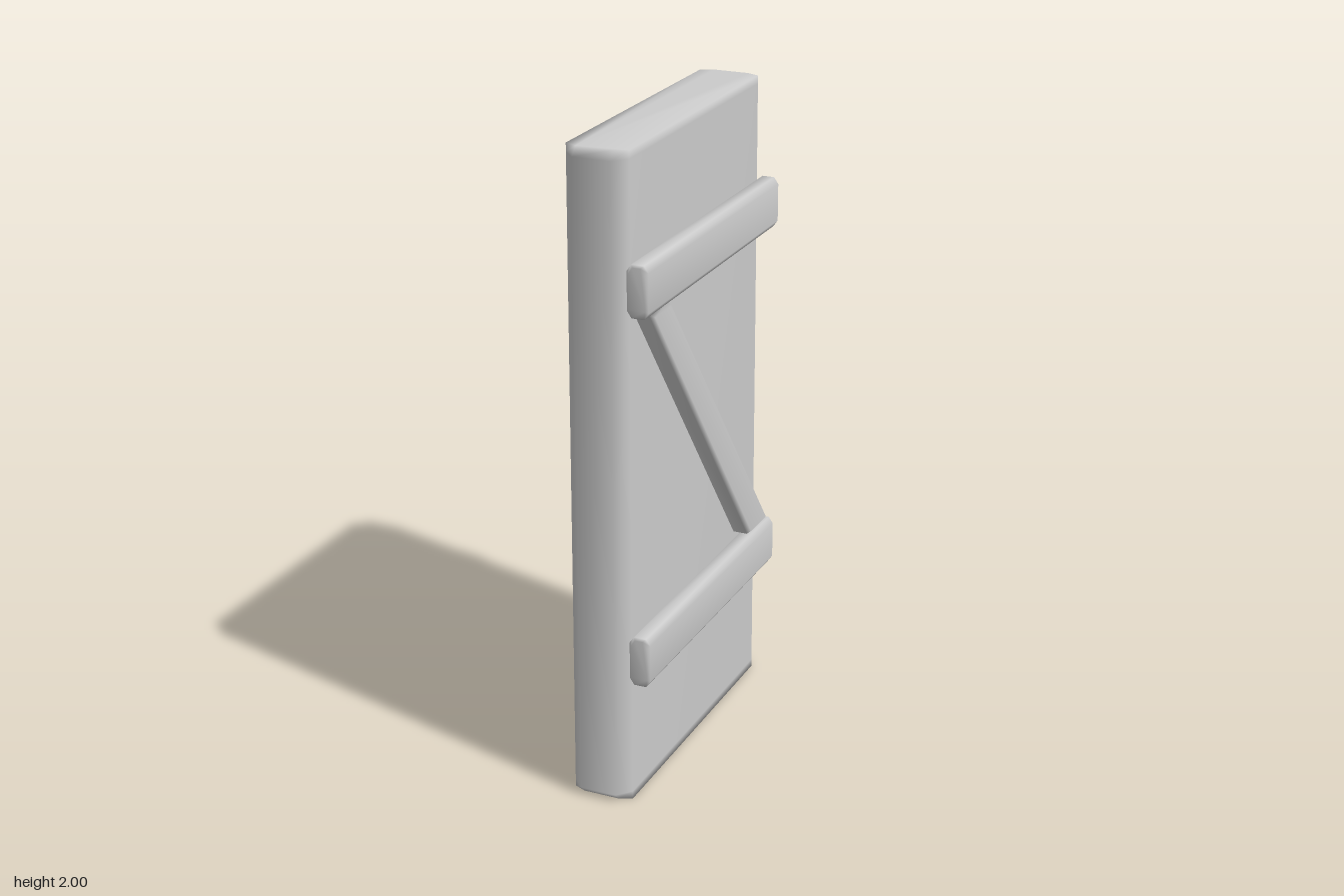
import * as THREE from 'three';

const material = new THREE.MeshStandardMaterial({ color: 0xcccccc });

// Smooth closed solid through equal-length rings (counterclockwise around the path)
function loft(name, rings) {
  const n = rings[0].length, last = (rings.length - 1) * n, index = [];
  for (let r = 0; r < rings.length - 1; r++) {
    for (let i = 0; i < n; i++) {
      const a = r * n + i, b = r * n + (i + 1) % n;
      index.push(a, b, b + n, a, b + n, a + n);
    }
  }
  for (let i = 1; i < n - 1; i++) {
    index.push(0, i + 1, i, last, last + i, last + i + 1);
  }
  const geometry = new THREE.BufferGeometry();
  geometry.setAttribute('position', new THREE.Float32BufferAttribute(rings.flat(2), 3));
  geometry.setIndex(index);
  geometry.computeVertexNormals();
  const mesh = new THREE.Mesh(geometry, material);
  mesh.name = name;
  return mesh;
}

// Octagon from half sizes a, b and chamfers ca, cb, counterclockwise from a to b
function octagon(a, b, ca, cb) {
  return [
    [a, -b + cb], [a, b - cb], [a - ca, b], [-a + ca, b],
    [-a, b - cb], [-a, -b + cb], [-a + ca, -b], [a - ca, -b],
  ];
}

export function createModel() {
  const door = new THREE.Group();
  door.name = 'door';

  // Slab: chamfered upright edges, slightly narrower towards the top
  const slabRing = (y, halfZ, inset) =>
    octagon(halfZ - inset, 0.095, 0.042 - inset, 0.038).map(([z, x]) => [x - 0.033, y, z]);
  door.add(loft('slab', [
    slabRing(0, 0.508, 0.025), slabRing(0.025, 0.508, 0),
    slabRing(1.975, 0.499, 0), slabRing(2, 0.499, 0.025),
  ]));

  // Two horizontal battens
  for (const [name, y] of [['upperBatten', 1.607], ['lowerBatten', 0.47]]) {
    const ring = (z, inset) =>
      octagon(0.033 - inset, 0.078 - inset, 0.014, 0.02).map(([x, h]) => [x, h, z]);
    const batten = loft(name, [
      ring(-0.483, 0.007), ring(-0.475, 0), ring(0.475, 0), ring(0.483, 0.007),
    ]);
    batten.position.set(0.093, y, 0);
    door.add(batten);
  }

  // Diagonal brace with a bevelled outer face
  const braceRing = (x, inset) => [
    [x, 1.53 - inset, 0.305 + inset * 0.5],
    [x, 1.53 - inset, 0.435 - inset * 1.6],
    [x, 0.56 + inset, -0.30 - inset * 0.5],
    [x, 0.56 + inset, -0.445 + inset * 1.6],
  ];
  door.add(loft('diagonalBrace', [
    braceRing(0.055, 0), braceRing(0.108, 0), braceRing(0.12, 0.01),
  ]));

  // The door stands slightly ajar
  door.rotation.y = 0.08;
  const model = new THREE.Group();
  model.name = 'battenedDoor';
  model.add(door);
  return model;
}
